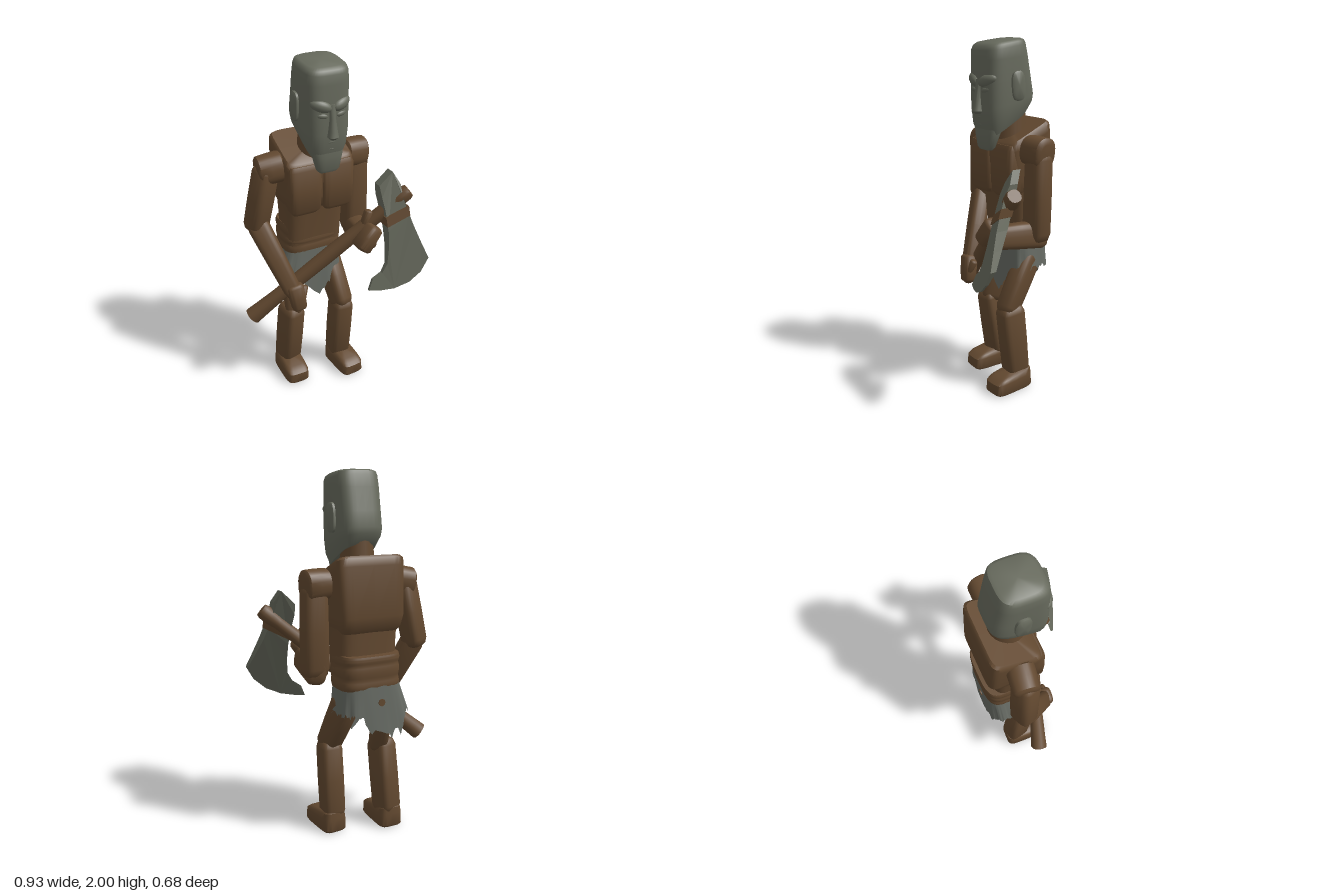
import * as THREE from 'three';
import { toCreasedNormals } from 'three/addons/utils/BufferGeometryUtils.js';

export function createModel() {
  const model = new THREE.Group();
  const wood = new THREE.MeshStandardMaterial({ color: 0x634930 });
  wood.name = 'brown wood';
  const grey = new THREE.MeshStandardMaterial({ color: 0x676a5d });
  grey.name = 'weathered grey';
  const cloth = new THREE.MeshStandardMaterial({ color: 0x676b64, side: THREE.DoubleSide });
  cloth.name = 'grey cloth';

  function add(name, geo, mat, pos = [0, 0, 0], rot = [0, 0, 0]) {
    const m = new THREE.Mesh(geo, mat);
    m.name = name;
    m.position.set(...pos);
    m.rotation.set(...rot);
    model.add(m);
    return m;
  }

  function blob(name, pos, size, rot) {
    add(name, new THREE.SphereGeometry(1, 20, 12), grey, pos, rot).scale.set(...size);
  }

  // point on a rounded-square ring
  function ringPoint(a, p) {
    const f = (v) => Math.sign(v) * Math.pow(Math.abs(v), 2 / p);
    return [f(Math.cos(a)), f(Math.sin(a))];
  }

  // rings: [y, half width, half depth, x centre, z centre, tilt along z]
  function loft(rings, p = 4, n = 28) {
    const pos = [], idx = [];
    for (const [y, w, d, cx = 0, cz = 0, tilt = 0] of rings) {
      for (let j = 0; j < n; j++) {
        const [x, z] = ringPoint((j / n) * Math.PI * 2, p);
        pos.push(cx + x * w, y + tilt * z * d, cz + z * d);
      }
    }
    for (let i = 0; i < rings.length - 1; i++) {
      for (let j = 0; j < n; j++) {
        const a = i * n + j, b = i * n + (j + 1) % n;
        idx.push(a, a + n, b, b, a + n, b + n);
      }
    }
    const last = rings.length - 1, c = rings.length * n;
    for (const k of [0, last]) pos.push(rings[k][3] || 0, rings[k][0], rings[k][4] || 0);
    for (let j = 0; j < n; j++) {
      const k = (j + 1) % n;
      idx.push(c, j, k, c + 1, last * n + k, last * n + j);
    }
    const g = new THREE.BufferGeometry();
    g.setAttribute('position', new THREE.Float32BufferAttribute(pos, 3));
    g.setIndex(idx);
    return toCreasedNormals(g, 0.75);
  }

  // softly squared limb from a to b; w0/d0 and w1/d1 are half sizes at the ends
  function limb(name, a, b, w0, d0, w1, d1, p = 3.2) {
    const A = new THREE.Vector3(...a), dir = new THREE.Vector3(...b).sub(A), len = dir.length();
    const rings = [[0, 0.6], [0.03, 0.85], [0.1, 1], [0.5, 1.02], [0.9, 1], [0.97, 0.85], [1, 0.6]]
      .map(([t, s]) => [t * len, s * (w0 + (w1 - w0) * t), s * (d0 + (d1 - d0) * t)]);
    const m = add(name, loft(rings, p, 24), wood, a);
    m.quaternion.setFromUnitVectors(new THREE.Vector3(0, 1, 0), dir.normalize());
  }

  // head, jaw and beard
  const hx = -0.015;
  add('head', loft([
    [1.55, 0.095, 0.125, hx, -0.08, -0.55], [1.61, 0.12, 0.15, hx, -0.084, -0.45],
    [1.67, 0.127, 0.156, hx, -0.081, -0.25], [1.78, 0.127, 0.148, hx, -0.072, -0.05],
    [1.9, 0.127, 0.133, hx, -0.06, -0.1], [1.955, 0.124, 0.125, hx, -0.054, -0.15],
    [1.975, 0.117, 0.117, hx, -0.054, -0.15], [1.986, 0.1, 0.1, hx, -0.056, -0.13]], 3.6, 40), grey);
  add('beard', loft([
    [1.41, 0.05, 0.015, hx, 0.028], [1.425, 0.066, 0.026, hx, 0.025], [1.5, 0.083, 0.046, hx, 0.015],
    [1.56, 0.099, 0.054, hx, 0.005], [1.63, 0.1, 0.05, hx, 0]], 3), grey);
  blob('moustache', [hx, 1.59, 0.05], [0.058, 0.018, 0.022]);
  blob('lowerLip', [hx, 1.55, 0.056], [0.034, 0.01, 0.012]);
  add('nose', loft([
    [1.608, 0.016, 0.02, hx, 0.076], [1.622, 0.03, 0.038, hx, 0.075], [1.65, 0.025, 0.032, hx, 0.074],
    [1.72, 0.017, 0.024, hx, 0.07], [1.79, 0.022, 0.018, hx, 0.066]], 2.6, 16), grey);
  for (const s of [-1, 1]) {
    blob('brow', [hx + s * 0.058, 1.785, 0.058], [0.06, 0.032, 0.03], [0, s * 0.35, s * 0.32]);
    blob('eyelid', [hx + s * 0.056, 1.735, 0.058], [0.038, 0.018, 0.02], [0, s * 0.3, s * 0.15]);
    blob('cheek', [hx + s * 0.064, 1.675, 0.042], [0.042, 0.05, 0.022], [0, s * 0.3, 0]);
    add('ear', loft([[-0.017, 0.066, 0.03], [-0.009, 0.078, 0.041], [0.009, 0.078, 0.041],
      [0.017, 0.066, 0.03]], 3), grey, [hx + s * 0.13, 1.755, -0.09], [0.08, 0, Math.PI / 2]);
  }
  add('neck', new THREE.CylinderGeometry(0.085, 0.1, 0.22, 20), wood, [hx, 1.54, -0.13]);

  // torso with split chest plates, belly and wrapped waist
  const tx = -0.027;
  add('torso', loft([
    [1.165, 0.165, 0.112, tx, -0.168], [1.19, 0.18, 0.134, tx, -0.166], [1.25, 0.19, 0.148, tx, -0.167],
    [1.46, 0.201, 0.142, tx, -0.15, -0.4], [1.495, 0.2, 0.138, tx, -0.147, -0.45],
    [1.512, 0.187, 0.125, tx, -0.147, -0.45]], 8, 40), wood);
  for (const s of [-1, 1]) {
    add('chestPlate', loft([
      [1.155, 0.07, 0.03, tx + s * 0.098, -0.05], [1.18, 0.09, 0.045, tx + s * 0.098, -0.045],
      [1.3, 0.095, 0.05, tx + s * 0.098, -0.044], [1.42, 0.096, 0.045, tx + s * 0.098, -0.042],
      [1.445, 0.088, 0.035, tx + s * 0.098, -0.045]], 5), wood);
  }
  add('belly', loft([[0.92, 0.17, 0.1, tx, -0.18], [1.1, 0.174, 0.108, tx, -0.172],
    [1.19, 0.18, 0.114, tx, -0.168]], 4), wood);
  const waist = [];
  for (let i = 0; i <= 18; i++) {
    const t = i / 18, bulge = 0.965 + 0.035 * Math.abs(Math.sin(t * Math.PI * 3));
    waist.push([0.86 + 0.19 * t, 0.178 * bulge, 0.126 * bulge, -0.03, -0.2, 0.08 * Math.sin(t * 7)]);
  }
  add('waistWrap', loft(waist, 3.6), wood);
  add('pelvis', loft([[0.74, 0.1, 0.07, tx, -0.2], [0.78, 0.15, 0.1, tx, -0.2],
    [0.9, 0.165, 0.11, tx, -0.2]], 3.5), wood);

  // ragged loincloth, longest at front and back
  const N = 120, rows = 8, cp = [], ci = [];
  for (let i = 0; i <= rows; i++) {
    for (let j = 0; j < N; j++) {
      const a = (j / N) * Math.PI * 2, [x, z] = ringPoint(a, 3.4), t = i / rows;
      const centre = z > 0 ? 0.08 : -0.25, spread = z > 0 ? 0.5 : 0.65;
      const flap = Math.exp(-Math.pow((x - centre) / spread, 4)) * Math.pow(Math.abs(z), 3);
      const saw = Math.abs(((j * 0.31) % 2) - 1);
      const rag = 0.02 * saw + flap * (0.05 * saw + 0.02 * Math.sin(j * 0.45)) + 0.01 * Math.sin(j * 2.3);
      const low = 0.715 - 0.155 * flap + rag;
      const fold = 1 + 0.02 * t * Math.sin(a * 11);
      cp.push(-0.033 - 0.022 * t + x * (0.172 + 0.036 * t) * fold, 0.885 + (low - 0.885) * t,
        -0.2 + z * (0.125 + 0.01 * t) * fold);
    }
  }
  for (let i = 0; i < rows; i++) {
    for (let j = 0; j < N; j++) {
      const a = i * N + j, b = i * N + (j + 1) % N;
      ci.push(a, b, a + N, b, b + N, a + N);
    }
  }
  const cg = new THREE.BufferGeometry();
  cg.setAttribute('position', new THREE.Float32BufferAttribute(cp, 3));
  cg.setIndex(ci);
  cg.computeVertexNormals();
  add('loincloth', cg, cloth);
  add('clothPatch', new THREE.CylinderGeometry(0.02, 0.02, 0.008, 12), wood, [-0.06, 0.79, -0.331], [Math.PI / 2, 0, 0]);

  // legs: left one stands slightly forward
  limb('leftThigh', [0.085, 0.8, -0.215], [0.112, 0.47, -0.02], 0.062, 0.08, 0.058, 0.066);
  limb('leftShin', [0.115, 0.52, -0.045], [0.117, 0.07, -0.095], 0.062, 0.076, 0.064, 0.07, 4);
  limb('rightThigh', [-0.135, 0.8, -0.235], [-0.168, 0.45, -0.11], 0.06, 0.08, 0.054, 0.066);
  limb('rightShin', [-0.183, 0.51, -0.12], [-0.19, 0.07, -0.188], 0.061, 0.076, 0.066, 0.07, 4);
  for (const [name, x, z, turn] of [['leftFoot', 0.13, -0.033, 0.06], ['rightFoot', -0.195, -0.123, -0.04]]) {
    add(name, loft([
      [0, 0.066, 0.124], [0.012, 0.074, 0.133], [0.075, 0.072, 0.13, 0, 0, -0.05],
      [0.1, 0.066, 0.118, 0, -0.008, -0.14], [0.112, 0.052, 0.095, 0, -0.015, -0.15]], 5), wood, [x, 0, z], [0, turn, 0]);
  }

  // arms
  limb('leftShoulder', [0.16, 1.42, -0.13], [0.305, 1.41, -0.14], 0.08, 0.078, 0.085, 0.07, 2.4);
  limb('leftUpperArm', [0.243, 1.43, -0.135], [0.238, 0.92, -0.13], 0.062, 0.067, 0.062, 0.075);
  limb('leftForearm', [0.242, 0.955, -0.185], [0.195, 0.975, 0.14], 0.058, 0.078, 0.05, 0.064);
  limb('leftHand', [0.13, 0.945, 0.135], [0.225, 1.07, 0.14], 0.05, 0.06, 0.045, 0.05);
  limb('leftThumb', [0.18, 1.05, 0.09], [0.21, 1.15, 0.09], 0.024, 0.028, 0.022, 0.025, 2.4);
  limb('rightShoulder', [-0.2, 1.42, -0.14], [-0.35, 1.4, -0.16], 0.085, 0.075, 0.08, 0.07, 2.4);
  limb('rightUpperArm', [-0.292, 1.44, -0.145], [-0.36, 1.04, -0.19], 0.062, 0.068, 0.06, 0.068);
  limb('rightForearm', [-0.362, 1.11, -0.19], [-0.215, 0.66, 0.01], 0.056, 0.064, 0.046, 0.05);
  limb('rightHand', [-0.222, 0.74, 0.005], [-0.2, 0.58, 0.03], 0.044, 0.05, 0.04, 0.042);
  limb('rightThumb', [-0.16, 0.72, 0.01], [-0.2, 0.62, 0.045], 0.022, 0.024, 0.02, 0.022, 2.4);

  // axe handle, flared at the butt
  const butt = new THREE.Vector3(-0.437, 0.505, -0.128), tip = new THREE.Vector3(0.42, 1.255, 0.163);
  const axis = tip.clone().sub(butt), L = axis.length();
  const handle = add('axeHandle', loft([
    [0, 0.05, 0.046], [0.06, 0.047, 0.043], [0.2, 0.04, 0.038], [0.6, 0.043, 0.04],
    [L - 0.12, 0.036, 0.036], [L - 0.07, 0.043, 0.042], [L - 0.02, 0.043, 0.042], [L, 0.036, 0.035]], 2.4, 14), wood);
  handle.position.copy(butt);
  handle.quaternion.setFromUnitVectors(new THREE.Vector3(0, 1, 0), axis.normalize());

  // flat outline leaned onto the slanted plane of the blade, with varying thickness
  function plate(name, points, mat, thickness) {
    const shape = new THREE.Shape(points.map(([x, y]) => new THREE.Vector2(x, y)));
    const g = new THREE.ExtrudeGeometry(shape, { depth: 1, bevelEnabled: false });
    const p = g.attributes.position;
    for (let i = 0; i < p.count; i++) {
      const x = p.getX(i), y = p.getY(i);
      p.setZ(i, 0.415 + 0.507 * x - 0.364 * y + (p.getZ(i) - 0.5) * thickness(y));
    }
    g.computeVertexNormals();
    add(name, g, mat);
  }
  plate('axeBlade', [[0.265, 1.29], [0.34, 1.365], [0.37, 1.3], [0.37, 1.23], [0.385, 1.15], [0.402, 1.08],
    [0.43, 0.99], [0.46, 0.9], [0.415, 0.82], [0.35, 0.762], [0.27, 0.727], [0.2, 0.716], [0.14, 0.715],
    [0.168, 0.778], [0.22, 0.815], [0.25, 0.865], [0.266, 0.95], [0.274, 1.05], [0.272, 1.15], [0.265, 1.23]],
  grey, (y) => (y > 1.24 ? 0.05 : THREE.MathUtils.clamp((y - 0.72) * 0.19, 0.014, 0.072)));
  plate('axeStrap', [[0.268, 1.075], [0.388, 1.14], [0.388, 1.19], [0.268, 1.125]], wood, () => 0.084);

  return model;
}
